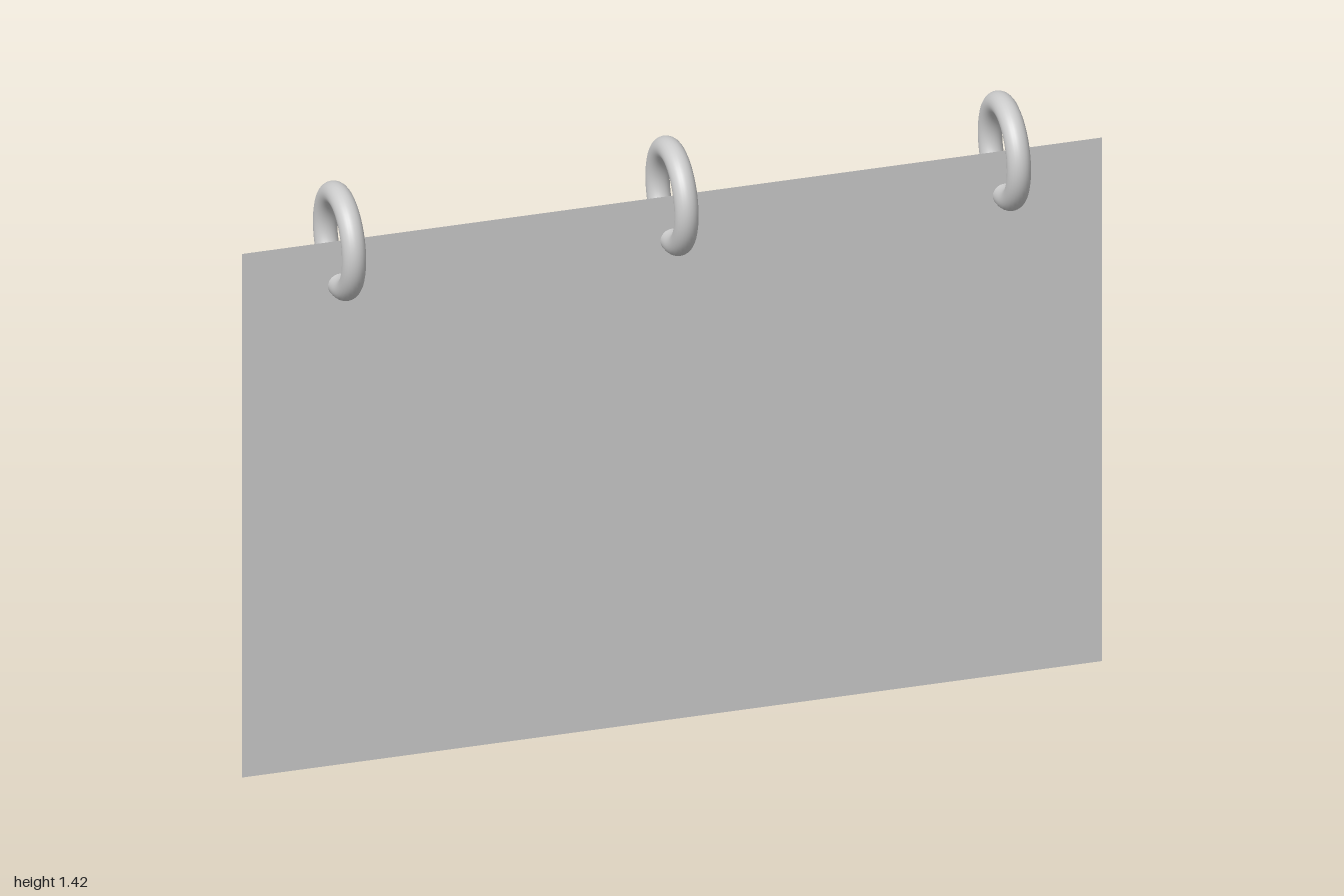
import * as THREE from 'three';

export function createModel() {
  const model = new THREE.Group();
  const height = 1.29;

  // Thin sheet standing in the plane z = 0
  const sheet = new THREE.Mesh(
    new THREE.PlaneGeometry(2, height),
    new THREE.MeshStandardMaterial({ color: 0xcccccc, side: THREE.DoubleSide })
  );
  sheet.name = 'sheet';
  sheet.position.y = height / 2;
  model.add(sheet);

  // Three hanging rings, centred on the top edge and passing through the sheet
  const ringMaterial = new THREE.MeshStandardMaterial({ color: 0xcccccc });
  const ringGeometry = new THREE.TorusGeometry(0.108, 0.027, 24, 64).rotateY(Math.PI / 2);
  ['rightRing', 'middleRing', 'leftRing'].forEach((name, i) => {
    const ring = new THREE.Mesh(ringGeometry, ringMaterial);
    ring.name = name;
    ring.position.set((i - 1) * 0.773, height, 0);
    model.add(ring);
  });

  return model;
}
